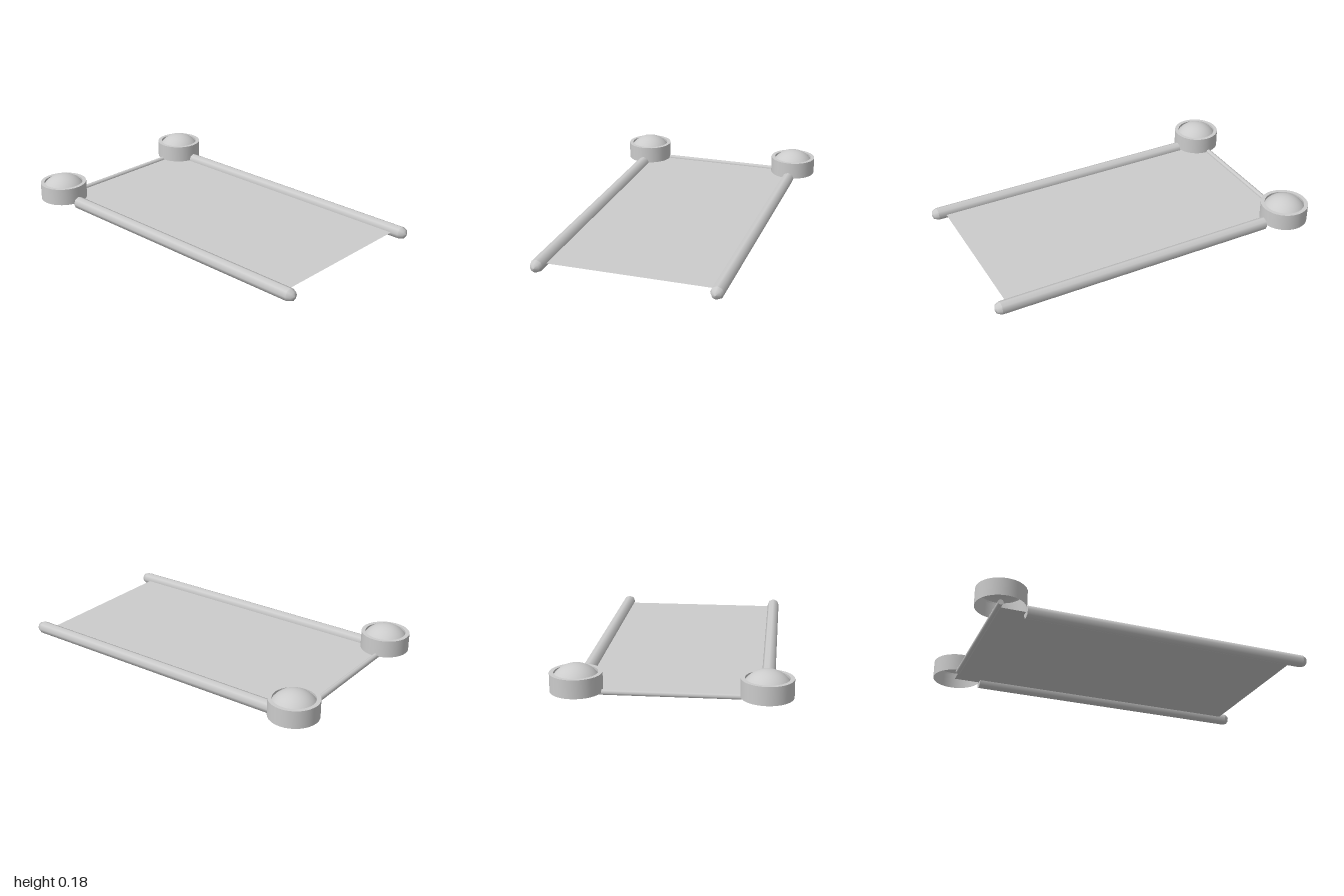
import * as THREE from 'three';

export function createModel() {
  const group = new THREE.Group();
  const mat = new THREE.MeshStandardMaterial({ color: 0xcccccc, side: THREE.DoubleSide });
  const axisY = 0.038;   // shared height of rails, bar and sheet

  const add = (name, geometry, x, y, z) => {
    const mesh = new THREE.Mesh(geometry, mat);
    mesh.name = name;
    mesh.position.set(x, y, z);
    group.add(mesh);
    return mesh;
  };
  const lathe = (points, segments) =>
    new THREE.LatheGeometry(points.map(([r, y]) => new THREE.Vector2(r, y)), segments);

  // Rails with a rounded front tip; flat end under the cups
  const railSide = [[0.037, 0], [0.037, 1.685]];
  const railTip = [[0.037, 1.685], [0.026, 1.71], [0, 1.72]];
  // Cup: open-bottomed wall, flat rim and recessed seat for the dome
  const cupWall = [[0.14, 0.038], [0.14, 0.14]];
  const cupRim = [[0.14, 0.14], [0.117, 0.14]];
  const cupInner = [[0.117, 0.14], [0.117, 0.115]];
  // Dome: shallow spherical cap
  const R = 0.145;
  const dome = new THREE.SphereGeometry(R, 32, 10, 0, Math.PI * 2, 0, Math.asin(0.117 / R));

  for (const [side, label] of [[1, 'left'], [-1, 'right']]) {
    const x = side * 0.5;
    for (const [part, profile] of [['Rail', railSide], ['RailTip', railTip]]) {
      add(label + part, lathe(profile, 8), x, axisY, -0.72).rotation.x = Math.PI / 2;
    }
    add(label + 'RailEnd', new THREE.CircleGeometry(0.037, 8), x, axisY, -0.72).rotation.y = Math.PI;

    add(label + 'CupWall', lathe(cupWall, 32), x, 0, -0.86);
    add(label + 'CupRim', lathe(cupRim, 32), x, 0, -0.86);
    add(label + 'CupInnerWall', lathe(cupInner, 32), x, 0, -0.86);
    add(label + 'Dome', dome, x, 0.185 - R, -0.86);
  }

  // Crossbar between the cups, reaching further under the right one
  add('crossbar', new THREE.CylinderGeometry(0.016, 0.016, 0.95, 8), -0.085, axisY, -0.875)
    .rotation.z = Math.PI / 2;

  // Thin sheet stretched between the rails
  add('sheet', new THREE.PlaneGeometry(1, 1.79), 0, axisY, 0.025).rotation.x = -Math.PI / 2;

  return group;
}
